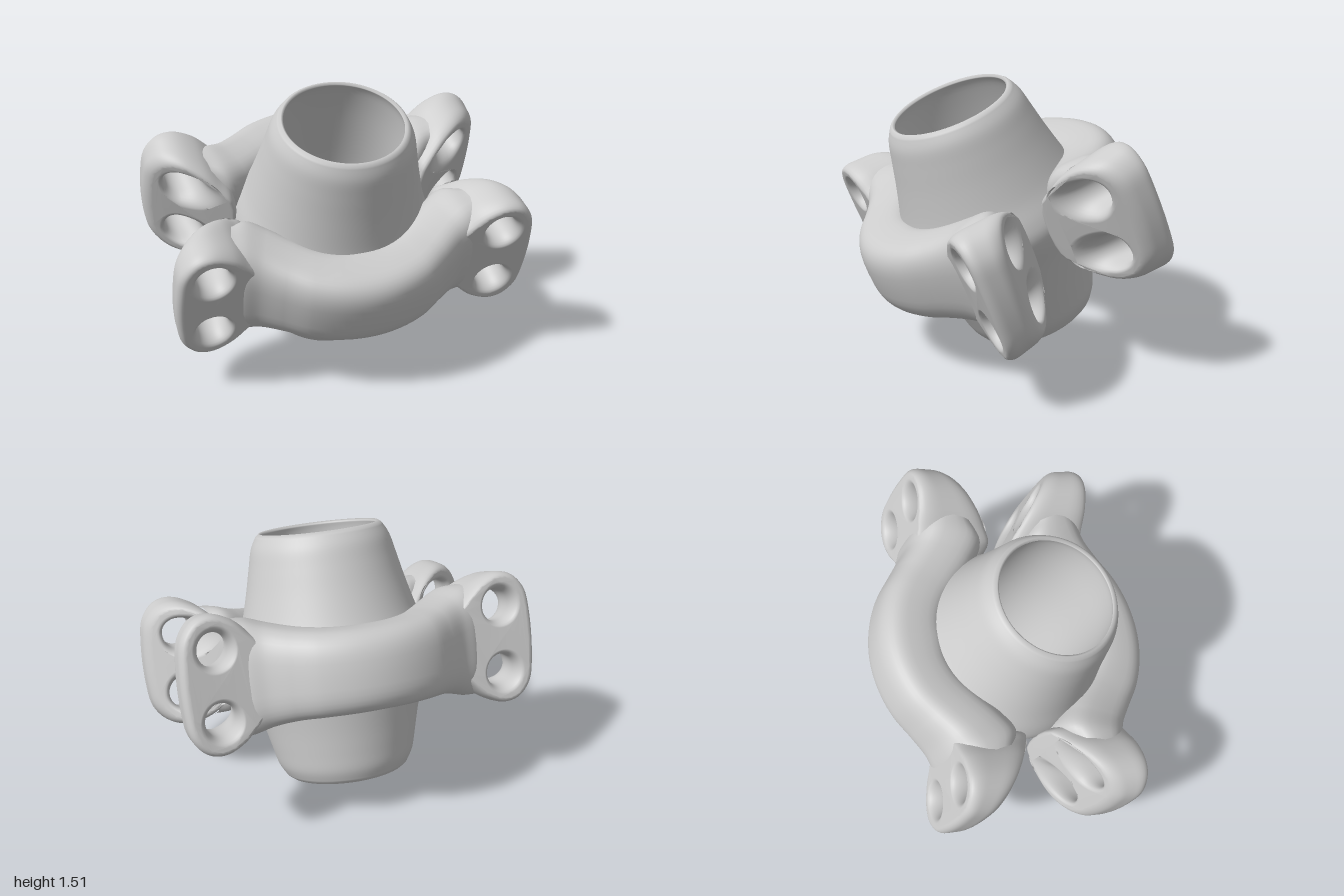
import * as THREE from 'three';
import { mergeVertices } from 'three/addons/utils/BufferGeometryUtils.js';
import { ParametricGeometry } from 'three/addons/geometries/ParametricGeometry.js';

const grey = new THREE.MeshStandardMaterial({ color: 0xcccccc });

function addMesh(parent, name, geometry) {
  const mesh = new THREE.Mesh(geometry, grey);
  mesh.name = name;
  parent.add(mesh);
}

// Hollow pipe that swells at mid-height, with thin rounded rims
function pipeGeometry() {
  const upper = [[0.54, 0], [0.525, 0.08], [0.482, 0.2], [0.438, 0.36], [0.405, 0.5], [0.38, 0.6], [0.346, 0.665]];
  const lower = upper.slice(1).reverse().map(([r, y]) => [r, -y]);
  const outer = new THREE.SplineCurve([...lower, ...upper].map((p) => new THREE.Vector2(...p))).getPoints(60);
  const inner = new THREE.SplineCurve(
    [[0.316, 0.67], [0.335, 0.6], [0.355, 0.4], [0.37, 0], [0.355, -0.4], [0.335, -0.6], [0.316, -0.67]]
      .map((p) => new THREE.Vector2(...p))).getPoints(30);
  const rim = (s) => new THREE.Vector2(0.328, 0.68 * s);
  return new THREE.LatheGeometry([rim(-1), ...outer, rim(1), ...inner, rim(-1)], 72);
}

// Curved band: rounded sections between an outer and an inner path
function bandGeometry() {
  // outer x, outer z, inner x, inner z, half height
  const half = [
    [0.16, 0.755, 0.1, 0.4, 0.218], [0.32, 0.695, 0.2, 0.36, 0.224], [0.45, 0.605, 0.3, 0.28, 0.238],
    [0.55, 0.535, 0.42, 0.18, 0.266], [0.63, 0.5, 0.53, 0.12, 0.298], [0.69, 0.465, 0.62, 0.16, 0.305],
  ];
  const mirrored = half.map(([xo, zo, xi, zi, h]) => [-xo, zo, -xi, zi, h]).reverse();
  const stations = [...mirrored, [0, 0.775, 0, 0.4, 0.216], ...half];
  const outer = new THREE.CatmullRomCurve3(stations.map(([x, z, , , h]) => new THREE.Vector3(x, h, z)));
  const inner = new THREE.CatmullRomCurve3(stations.map(([, , x, z, h]) => new THREE.Vector3(x, h, z)));
  const round = (c) => Math.sign(c) * Math.abs(c) ** 0.65;
  return new ParametricGeometry((u, v, target) => {
    const a = v * Math.PI * 2 + 0.01;
    const o = outer.getPoint(u);
    target.copy(inner.getPoint(u)).lerp(o, 0.5 + 0.5 * round(Math.cos(a)));
    target.y = o.y * round(Math.sin(a)) - 0.008;
  }, 72, 40);
}

// Wedge-shaped lug with two flared bolt holes; side is +1 or -1 along x
function lugGeometry(side) {
  const hole = { x: 0.79, y: 0.183, rx: 0.083, ry: 0.088 };
  const top = [[0.53, 0.17], [0.6, 0.255], [0.68, 0.325], [0.79, 0.366], [0.88, 0.345], [0.95, 0.26], [0.974, 0.12]];
  const outline = [...top, ...top.map(([x, y]) => [x, -y]).reverse()]
    .map(([x, y]) => new THREE.Vector3(side * x, y, 0));
  const curve = new THREE.CatmullRomCurve3(outline, true);
  const shape = new THREE.Shape(curve.getPoints(72).slice(0, -1).map((p) => new THREE.Vector2(p.x, p.y)));
  for (const y of [-hole.y, hole.y]) {
    shape.holes.push(new THREE.Path().absellipse(side * hole.x, y, hole.rx, hole.ry, 0, Math.PI * 2));
  }
  const bevel = 0.036;
  const geometry = new THREE.ExtrudeGeometry(shape, {
    depth: 0.4, steps: 6, curveSegments: 28, bevelSegments: 6,
    bevelSize: bevel, bevelOffset: -bevel, bevelThickness: 0.3,
  });
  const p = geometry.attributes.position;
  for (let i = 0; i < p.count; i++) {
    const t = p.getZ(i) + 0.3;
    let x = Math.abs(p.getX(i));
    let y = p.getY(i);
    // Scoop the holes towards the pipe and each other along the rear face
    const dx = x - hole.x;
    const dy = Math.abs(y) - hole.y;
    if (Math.hypot(dx, dy) < hole.ry + bevel + 0.003) {
      const scoop = (1 - t) ** 2;
      x += Math.min(dx, 0) * 0.65 * scoop;
      y += Math.sign(y) * Math.min(dy, 0) * 0.28 * scoop;
    }
    // Remap depth so the rear face is oblique and the rear edge tapers in height
    const back = 0.075 + 0.68 * (x - 0.57);
    const front = 0.495 + 0.05 * (x - 0.57);
    p.setXYZ(i, side * x, y * (1 - 0.07 * (1 - t)), back + t * (front - back));
  }
  geometry.deleteAttribute('uv');
  geometry.deleteAttribute('normal');
  const smooth = mergeVertices(geometry, 1e-4);
  smooth.computeVertexNormals();
  return smooth;
}

export function createModel() {
  const model = new THREE.Group();
  model.name = 'clampedPipe';

  // Everything leans forward along the pipe axis
  const tilted = new THREE.Group();
  tilted.name = 'tiltedAssembly';
  tilted.position.y = 0.746;
  tilted.rotation.x = 0.385;
  model.add(tilted);

  addMesh(tilted, 'pipe', pipeGeometry());

  // Two matching half clamps, slightly twisted around the pipe
  const clamps = new THREE.Group();
  clamps.name = 'clamps';
  clamps.rotation.set(0, 0.066, 0.022);
  tilted.add(clamps);

  const band = bandGeometry();
  const lugs = { leftLug: lugGeometry(1), rightLug: lugGeometry(-1) };
  ['frontClamp', 'backClamp'].forEach((name, i) => {
    const clamp = new THREE.Group();
    clamp.name = name;
    clamp.rotation.y = i * Math.PI;
    addMesh(clamp, 'band', band);
    for (const [lugName, geometry] of Object.entries(lugs)) addMesh(clamp, lugName, geometry);
    clamps.add(clamp);
  });

  return model;
}
